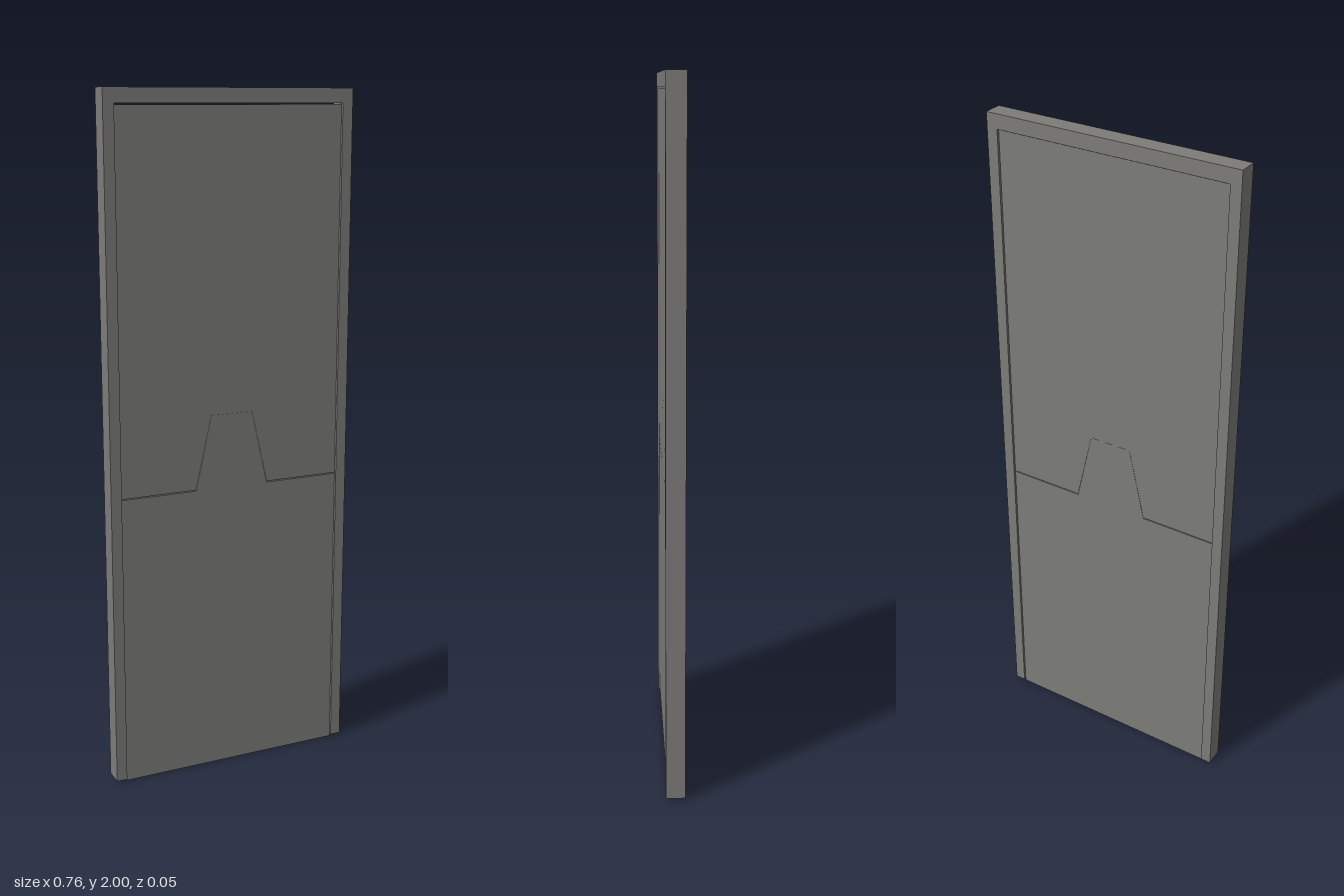
import * as THREE from 'three';

const material = new THREE.MeshStandardMaterial({ color: 0x7d7c79, flatShading: true });

// Extrudes a closed outline to a slab centred on z = 0
function slab(name, points, depth) {
  const shape = new THREE.Shape(points.map(([x, y]) => new THREE.Vector2(x, y)));
  const geometry = new THREE.ExtrudeGeometry(shape, { depth, bevelEnabled: false });
  geometry.translate(0, 0, -depth / 2);
  const mesh = new THREE.Mesh(geometry, material);
  mesh.name = name;
  return mesh;
}

export function createModel() {
  const model = new THREE.Group();
  model.name = 'door';

  const outer = 0.378, inner = 0.346, frameDepth = 0.055;
  const frameBottom = 0.007, top = 2, headBottom = 1.958;
  const leafDepth = 0.043, leafTop = 1.955;
  const leafSide = inner - 0.001;

  // Frame: two jambs and a head, open at the floor
  model.add(slab('frame', [
    [-outer, frameBottom], [-inner, frameBottom], [-inner, headBottom],
    [inner, headBottom], [inner, frameBottom], [outer, frameBottom],
    [outer, top], [-outer, top],
  ], frameDepth));

  // Seam between the leaves: level at the sides, a trapezoid tab in the middle
  const seam = (y, tabTop, spread) => [
    [leafSide, y], [0.114 + spread, y], [0.065 + spread, tabTop],
    [-0.065 - spread, tabTop], [-0.114 - spread, y], [-leafSide, y],
  ];

  // Lower leaf with the tab
  model.add(slab('lowerPanel', [
    [-leafSide, 0], [leafSide, 0], ...seam(0.868, 1.088, 0),
  ], leafDepth));

  // Upper leaf notched around the tab, with a narrow gap
  model.add(slab('upperPanel', [
    [-leafSide, leafTop], ...seam(0.871, 1.0883, 0.0003).reverse(), [leafSide, leafTop],
  ], leafDepth));

  return model;
}
